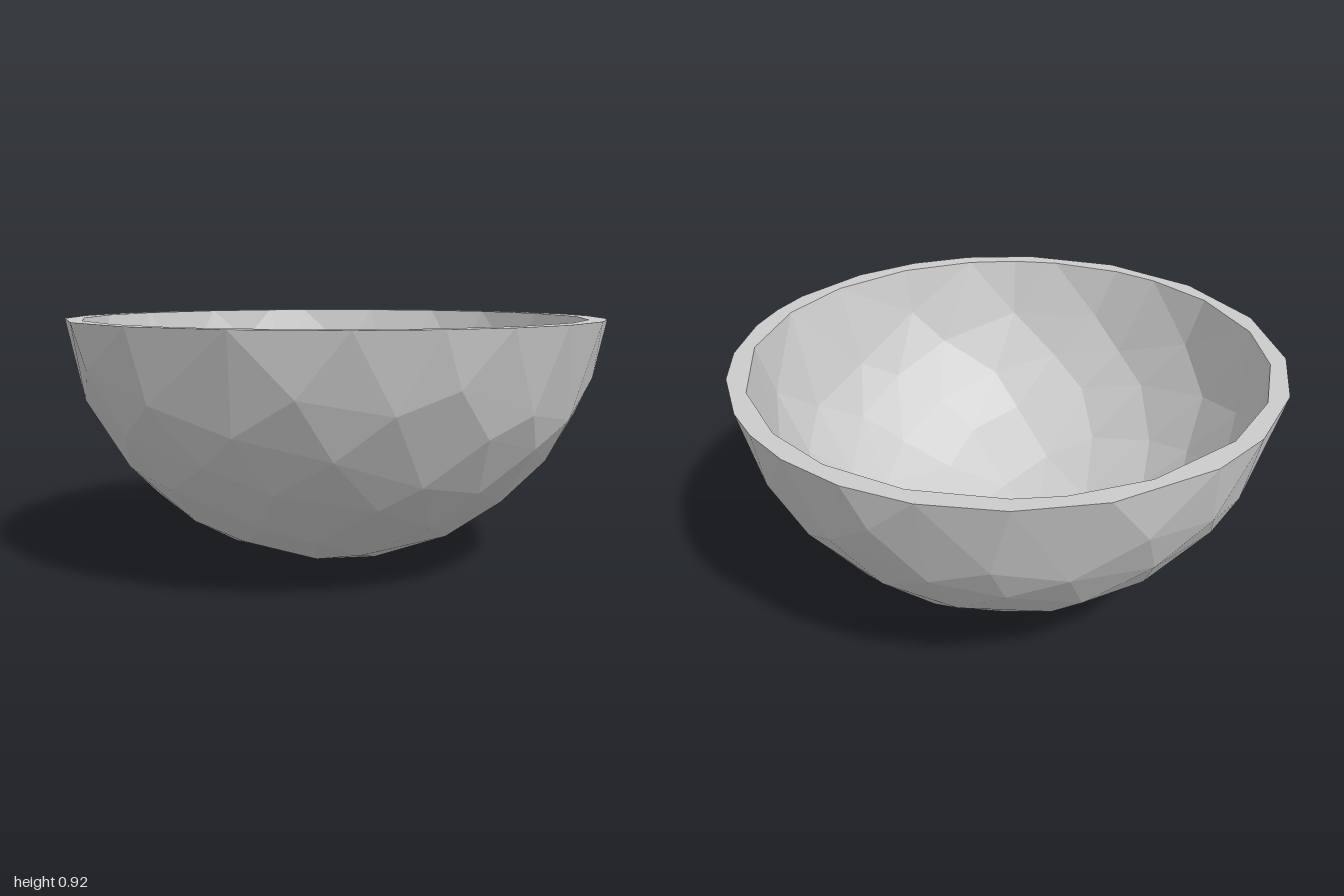
import * as THREE from 'three';
import { ConvexGeometry } from 'three/addons/geometries/ConvexGeometry.js';

const RIM_Y = 0.92;
const CENTER = new THREE.Vector3(-0.008, 1.014, 0);

// Irregular rim corners, as degrees around the bowl (0 = +x, 90 = +z)
const OUTER_RIM = [4, 19, 31, 45, 54, 63, 81, 96, 110, 126, 147, 169, 191, 212, 229, 247, 261, 283, 300, 316, 330, 344, 355];
const INNER_RIM = [12, 34, 54, 72, 92, 110, 122, 133, 150, 161, 178, 198, 215, 233, 251, 273, 290, 300, 319, 337, 353];

function seeded(seed) {
  return () => {
    seed = (seed * 16807) % 2147483647;
    return seed / 2147483647 - 0.5;
  };
}

function rimPoints(radius, angles) {
  const r = Math.sqrt(radius ** 2 - (CENTER.y - RIM_Y) ** 2);
  return angles.map((deg) => {
    const a = THREE.MathUtils.degToRad(deg);
    return new THREE.Vector3(CENTER.x + r * Math.cos(a), RIM_Y, CENTER.z + r * Math.sin(a));
  });
}

// Faceted spherical cup: jittered spiral of points on a sphere, open at the rim
function cupGeometry(radius, rim, count, seed, inward) {
  const rand = seeded(seed);
  const points = [...rim];
  const bottom = CENTER.y - radius;
  for (let i = 0; i < count; i++) {
    const jitter = i ? 0.08 : 0;
    const drop = radius - (i / (count - 1)) * (RIM_Y - 0.17 - bottom);
    const r = Math.sqrt(Math.max(0, radius ** 2 - drop ** 2));
    const a = i * 2.39996 + seed;
    const p = new THREE.Vector3(r * Math.cos(a), -drop, r * Math.sin(a));
    p.add(new THREE.Vector3(rand(), rand(), rand()).multiplyScalar(jitter));
    points.push(p.setLength(radius).add(CENTER));
  }

  // Keep every hull triangle except the flat lid across the opening
  const pos = new ConvexGeometry(points).getAttribute('position');
  const kept = [];
  for (let i = 0; i < pos.count; i += 3) {
    const tri = [0, 1, 2].map((k) => new THREE.Vector3().fromBufferAttribute(pos, i + k));
    if (tri.every((v) => v.y > RIM_Y - 1e-4)) continue;
    if (inward) tri.reverse();
    tri.forEach((v) => kept.push(v.x, v.y, v.z));
  }
  const geometry = new THREE.BufferGeometry();
  geometry.setAttribute('position', new THREE.Float32BufferAttribute(kept, 3));
  geometry.computeVertexNormals();
  return geometry;
}

export function createModel() {
  const bowl = new THREE.Group();
  bowl.name = 'bowl';
  const material = new THREE.MeshStandardMaterial({ color: 0xcccccc, flatShading: true });
  const add = (name, geometry) => {
    const mesh = new THREE.Mesh(geometry, material);
    mesh.name = name;
    bowl.add(mesh);
  };

  const outerRim = rimPoints(1.014, OUTER_RIM);
  const innerRim = rimPoints(0.95, INNER_RIM);

  // Outer and inner walls
  add('outerWall', cupGeometry(1.014, outerRim, 80, 7, false));
  add('innerWall', cupGeometry(0.95, innerRim, 72, 23, true));

  // Flat lip joining the two walls
  const flat = (points) => points.map((p) => new THREE.Vector2(p.x, -p.z));
  const lip = new THREE.Shape(flat(outerRim));
  lip.holes.push(new THREE.Path(flat(innerRim)));
  add('rim', new THREE.ShapeGeometry(lip).rotateX(-Math.PI / 2).translate(0, RIM_Y, 0));

  return bowl;
}
